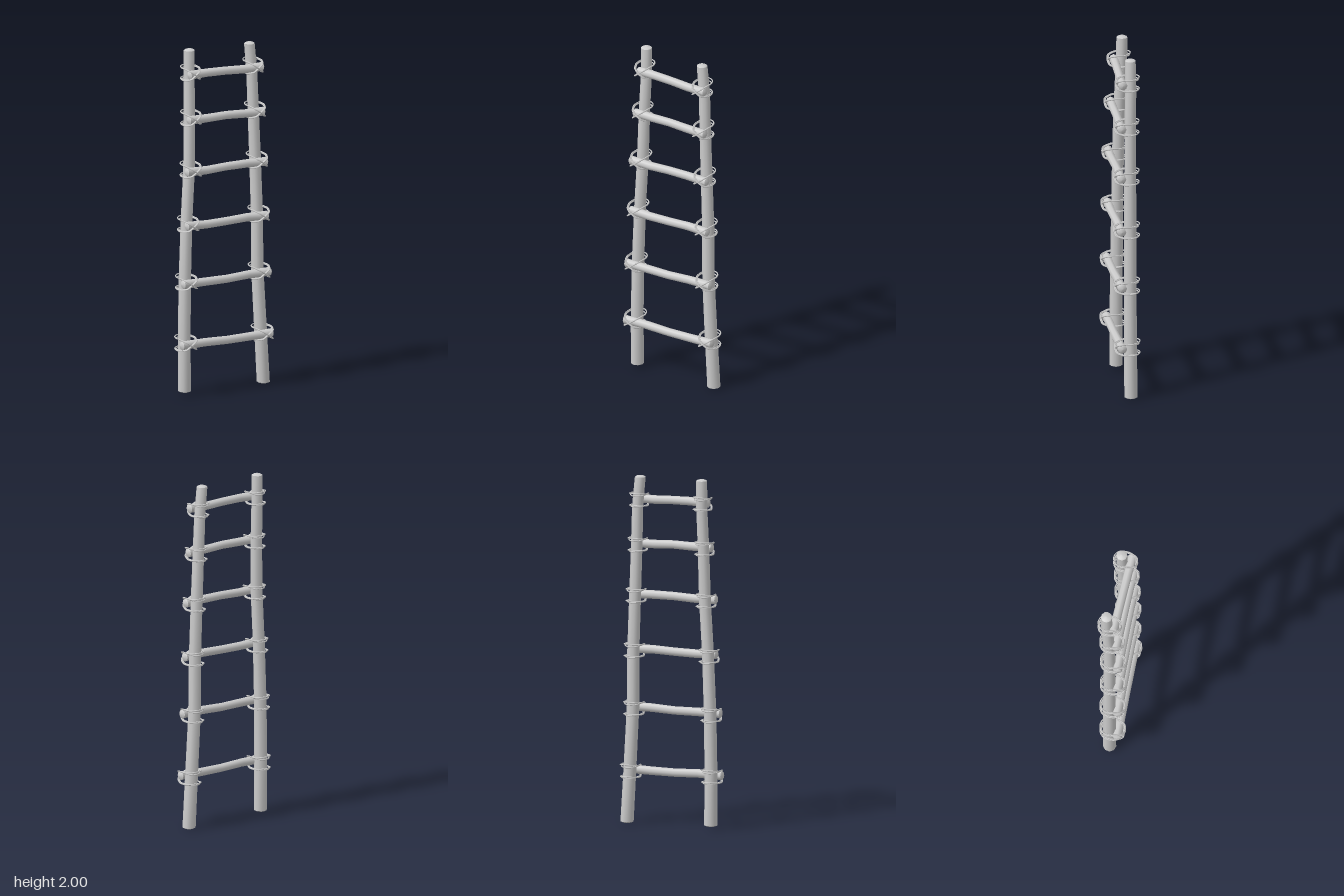
import * as THREE from 'three';

const wood = new THREE.MeshStandardMaterial({ color: 0xcccccc });
const V = (x, y, z) => new THREE.Vector3(x, y, z);

// Log lofted through [x, y, z, radius] sections, with slightly domed ends.
function logGeometry(sections, axis, sides) {
  const d = axis === 'y' ? V(0, 1, 0) : V(1, 0, 0);
  const u = axis === 'y' ? V(0, 0, 1) : V(0, 1, 0);
  const v = d.clone().cross(u);
  const ring = ([x, y, z, r], k = 1, push = 0) =>
    ({ c: V(x, y, z).addScaledVector(d, push), r: r * k });
  const first = sections[0], last = sections[sections.length - 1];
  const strips = [
    [ring(first, 0, -0.009), ring(first, 0.7, -0.006), ring(first)],
    sections.map(s => ring(s)),
    [ring(last), ring(last, 0.7, 0.006), ring(last, 0, 0.009)],
  ];
  const pos = [], idx = [];
  for (const strip of strips) {
    const base = pos.length / 3;
    strip.forEach(({ c, r }, i) => {
      for (let j = 0; j < sides; j++) {
        const a = (j / sides) * Math.PI * 2;
        const p = c.clone().addScaledVector(u, r * Math.cos(a)).addScaledVector(v, r * Math.sin(a));
        pos.push(p.x, p.y, p.z);
        if (i === 0) continue;
        const n = (j + 1) % sides, lo = base + (i - 1) * sides, hi = lo + sides;
        idx.push(lo + j, lo + n, hi + n, lo + j, hi + n, hi + j);
      }
    });
  }
  const g = new THREE.BufferGeometry();
  g.setAttribute('position', new THREE.Float32BufferAttribute(pos, 3));
  g.setIndex(idx);
  g.computeVertexNormals();
  return g;
}

function add(parent, name, geometry) {
  const mesh = new THREE.Mesh(geometry, wood);
  mesh.name = name;
  parent.add(mesh);
  return mesh;
}

// Interpolates a pole's centre and radius at a height.
function poleAt(pole, y) {
  let i = 0;
  while (i < pole.length - 2 && pole[i + 1][1] < y) i++;
  const t = (y - pole[i][1]) / (pole[i + 1][1] - pole[i][1]);
  return pole[i].map((a, k) => a + (pole[i + 1][k] - a) * t);
}

// One rope: behind the pole above and below the rung, crossing over its front.
function lashing(pole, y, rungZ, grow, rise) {
  const [cx, , cz, r] = poleAt(pole, y);
  const R = r + 0.011 + grow, h = 0.031 + rise, front = rungZ + 0.031 + grow;
  const pts = [];
  for (const s of [1, -1]) {
    for (let i = 0; i <= 6; i++) {
      const a = (i / 6) * Math.PI;
      const tilt = 0.006 * Math.sin(a) * (grow > 0 ? 1 : -1);
      pts.push(V(cx + R * Math.cos(a), y + s * h + tilt, cz - R * Math.sin(a)));
    }
    pts.push(V(cx - R * 0.95, y + s * h, (cz + rungZ) / 2 + 0.012));
    pts.push(V(cx - R * 0.6, y + s * h * 0.65, front - 0.006));
    pts.push(V(cx, y, front + s * 0.002));
    pts.push(V(cx + R * 0.6, y - s * h * 0.65, front - 0.006));
    pts.push(V(cx + R * 0.95, y - s * h, (cz + rungZ) / 2 + 0.012));
  }
  const path = new THREE.CatmullRomCurve3(pts, true, 'catmullrom', 0.3);
  return new THREE.TubeGeometry(path, 72, 0.0038, 5, true);
}

export function createModel() {
  const model = new THREE.Group();
  model.name = 'ladder';

  // Crooked poles, bottom to top: [x, y, z, radius]
  const rightPole = [
    [-0.25, 0.022, -0.008, 0.038], [-0.252, 0.3, -0.008, 0.037], [-0.247, 0.66, -0.01, 0.036],
    [-0.235, 1.0, -0.012, 0.034], [-0.217, 1.31, -0.014, 0.034], [-0.211, 1.6, -0.02, 0.033],
    [-0.206, 1.82, -0.032, 0.032], [-0.205, 1.991, -0.034, 0.032],
  ];
  const leftPole = [
    [0.262, 0.009, -0.008, 0.038], [0.245, 0.3, -0.008, 0.037], [0.225, 0.66, -0.01, 0.036],
    [0.222, 1.0, -0.011, 0.035], [0.211, 1.31, -0.012, 0.034], [0.2, 1.6, -0.014, 0.033],
    [0.193, 1.82, -0.018, 0.032], [0.177, 1.985, -0.018, 0.031],
  ];
  add(model, 'rightPole', logGeometry(rightPole, 'y', 9));
  add(model, 'leftPole', logGeometry(leftPole, 'y', 9));

  // Rungs: [x start, x end, y at start, y at end, z at start, z at end]
  const rungs = [
    [-0.297, 0.283, 0.3, 0.298, 0.043, 0.043],
    [-0.288, 0.272, 0.652, 0.658, 0.042, 0.042],
    [-0.263, 0.253, 0.988, 0.99, 0.04, 0.043],
    [-0.262, 0.248, 1.303, 1.305, 0.038, 0.042],
    [-0.242, 0.232, 1.602, 1.596, 0.026, 0.038],
    [-0.228, 0.228, 1.86, 1.853, 0.01, 0.032],
  ];
  rungs.forEach(([x0, x1, y0, y1, z0, z1], n) => {
    const group = new THREE.Group();
    group.name = `rung${n + 1}`;
    model.add(group);
    const at = x => (x - x0) / (x1 - x0);
    const sections = [0, 0.25, 0.5, 0.75, 1].map((t, i) => [
      x0 + (x1 - x0) * t, y0 + (y1 - y0) * t + 0.003 * Math.sin(i * 2 + n),
      z0 + (z1 - z0) * t, 0.026 - 0.002 * Math.sin(t * Math.PI),
    ]);
    add(group, 'rungBar', logGeometry(sections, 'x', 8));

    // Two wraps of rope at each joint
    for (const [side, pole] of [['right', rightPole], ['left', leftPole]]) {
      const t = at(poleAt(pole, y0)[0]);
      const y = y0 + (y1 - y0) * t, z = z0 + (z1 - z0) * t;
      add(group, `${side}RopeInner`, lashing(pole, y, z, 0, 0));
      add(group, `${side}RopeOuter`, lashing(pole, y, z, 0.006, 0.003));
    }
  });
  return model;
}
